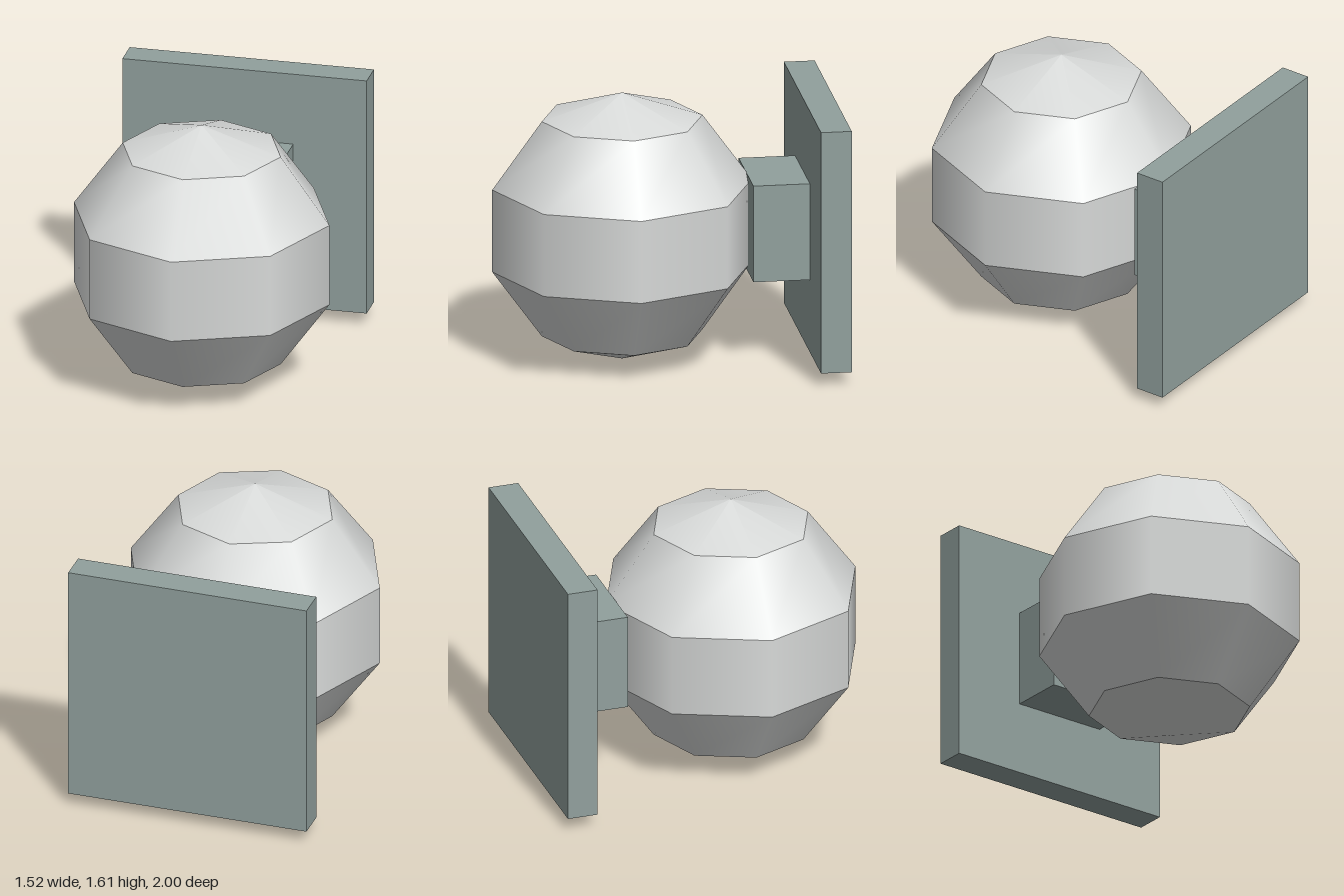
import * as THREE from 'three';

export function createModel() {
  const model = new THREE.Group();
  const globeMat = new THREE.MeshStandardMaterial({ color: 0xd8dad9 });
  globeMat.name = 'paleGrey';
  const mountMat = new THREE.MeshStandardMaterial({ color: 0x91a09d });
  mountMat.name = 'greyGreen';

  // Eight-sided globe: bands smooth around, with sharp rims between them
  const globe = new THREE.Group();
  globe.name = 'globe';
  globe.position.z = 0.235;
  const rings = [[0, 0], [0.47, 0.155], [0.76, 0.555], [0.76, 1.05], [0.47, 1.45], [0, 1.605]];
  const names = ['bottomCap', 'lowerBand', 'middleBand', 'upperBand', 'topCap'];
  names.forEach((name, i) => {
    const [r0, y0] = rings[i];
    const [r1, y1] = rings[i + 1];
    const band = new THREE.Mesh(new THREE.CylinderGeometry(r1, r0, y1 - y0, 8, 1, true), globeMat);
    band.name = name;
    band.position.y = (y0 + y1) / 2;
    globe.add(band);
  });
  model.add(globe);

  // Square mount behind the globe
  const addBox = (name, w, h, d, y, z) => {
    const box = new THREE.Mesh(new THREE.BoxGeometry(w, h, d), mountMat);
    box.name = name;
    box.position.set(0, y, z);
    model.add(box);
  };
  addBox('stem', 0.58, 0.58, 0.33, 0.803, -0.655);
  addBox('backPlate', 1.454, 1.454, 0.18, 0.803, -0.91);

  return model;
}
